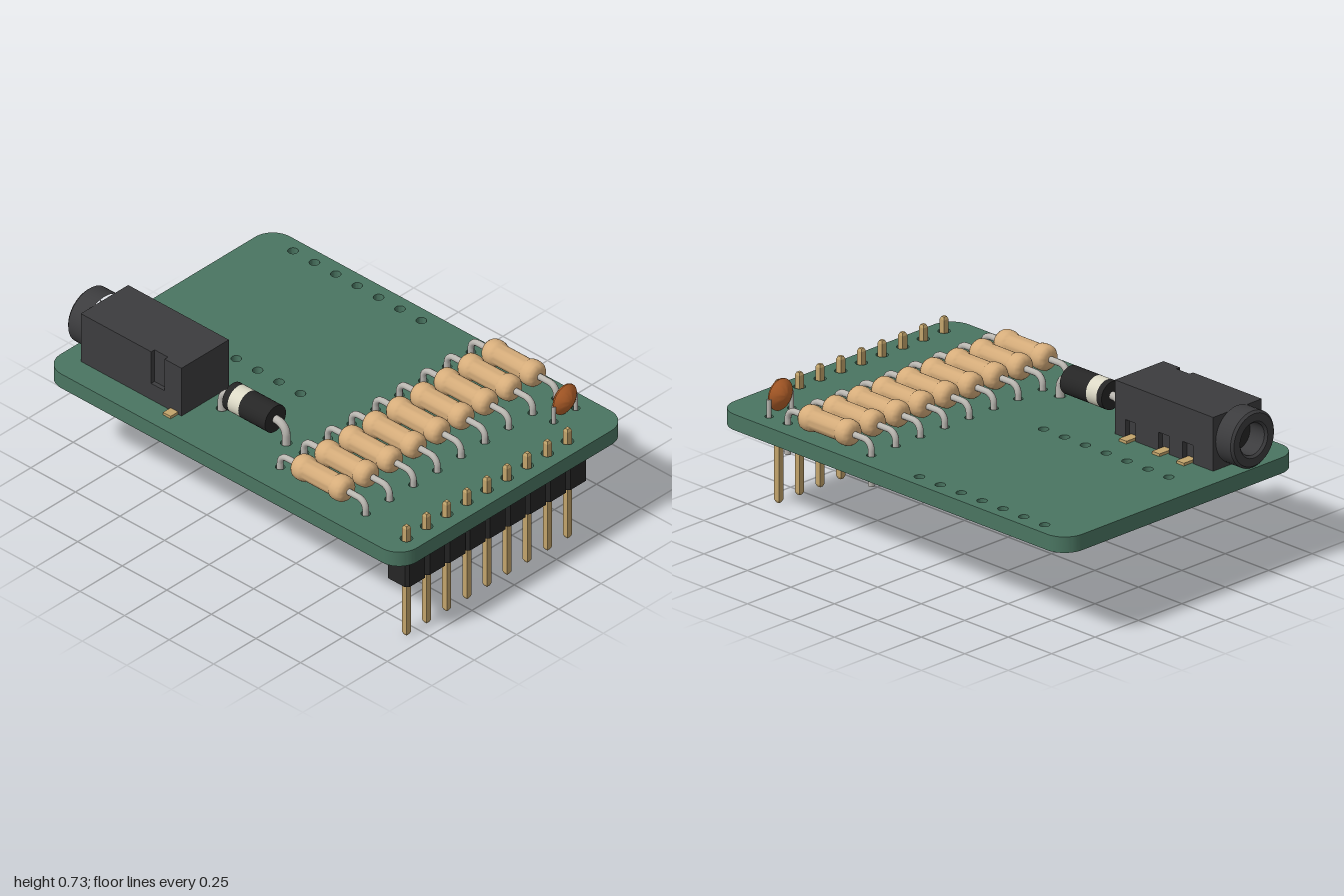
import * as THREE from 'three';
import { toCreasedNormals } from 'three/addons/utils/BufferGeometryUtils.js';

const mat = (color) => new THREE.MeshStandardMaterial({ color });
const green = mat(0x4a7561), black = mat(0x262626), jackGrey = mat(0x3c3c3e), gold = mat(0xc2a46b);
const silver = mat(0xb9b6b0), tan = mat(0xd6ad7b), cream = mat(0xdcd9c6), orange = mat(0xb9632b);

const BOTTOM = 0.405, TOP = 0.475;
const range = (n, start, step) => Array.from({ length: n }, (_, i) => start + i * step);
const resistorZ = range(9, -0.587, 0.141);
const pinZ = range(9, -0.397, 0.119);
const holeX = range(7, -0.82, 0.12);
const PIN_X = 0.922, DIODE_Z = 0.4, JACK_Z = 0.415, CAP_X = 0.785;

function add(parent, name, geometry, material, x = 0, y = 0, z = 0) {
  const mesh = new THREE.Mesh(geometry, material);
  mesh.name = name;
  mesh.position.set(x, y, z);
  parent.add(mesh);
  return mesh;
}

function group(parent, name) {
  const g = new THREE.Group();
  g.name = name;
  parent.add(g);
  return g;
}

// Extrudes a plan outline (x, -z) upward from y0 to y1
function slab(shape, y0, y1) {
  const geo = new THREE.ExtrudeGeometry(shape, { depth: y1 - y0, bevelEnabled: false, curveSegments: 10 });
  return toCreasedNormals(geo.rotateX(-Math.PI / 2).translate(0, y0, 0), 0.6);
}

const planShape = (points) => new THREE.Shape(points.map(([x, z]) => new THREE.Vector2(x, -z)));

// Turned solid lying along x; points are [radius, x] from -x to +x
function turnedX(points, segments = 32, crease = 0.6) {
  const geo = new THREE.LatheGeometry(points.map(([r, x]) => new THREE.Vector2(r, x)), segments);
  return toCreasedNormals(geo.rotateZ(-Math.PI / 2), crease);
}

// Wire that leaves a body at xBody, bends down at xEnd and goes through the board
function addBentLead(parent, xBody, xEnd, y, yEnd, z, r, bend) {
  const s = Math.sign(xEnd - xBody);
  const v = (x, yy) => new THREE.Vector3(x, yy, z);
  const k = 0.45 * bend;
  const path = new THREE.CurvePath();
  path.add(new THREE.LineCurve3(v(xBody, y), v(xEnd - s * bend, y)));
  path.add(new THREE.CubicBezierCurve3(v(xEnd - s * bend, y), v(xEnd - s * k, y), v(xEnd, y - k), v(xEnd, y - bend)));
  path.add(new THREE.LineCurve3(v(xEnd, y - bend), v(xEnd, yEnd)));
  add(parent, 'lead', new THREE.TubeGeometry(path, 28, r, 10), silver);
  add(parent, 'leadEnd', new THREE.CircleGeometry(r, 10).rotateX(Math.PI / 2), silver, xEnd, yEnd, z);
}

function buildBoard(root) {
  const w = 1, d = 0.675, r = 0.1;
  const shape = new THREE.Shape();
  shape.absarc(w - r, d - r, r, 0, Math.PI / 2);
  shape.absarc(r - w, d - r, r, Math.PI / 2, Math.PI);
  shape.absarc(r - w, r - d, r, Math.PI, Math.PI * 1.5);
  shape.absarc(w - r, r - d, r, Math.PI * 1.5, Math.PI * 2);
  shape.closePath();
  const hole = (x, z, radius) =>
    shape.holes.push(new THREE.Path().absarc(x, -z, radius, 0, Math.PI * 2, true));
  for (const x of holeX) { hole(x, -0.61, 0.022); hole(x, 0.105, 0.022); }
  for (const z of resistorZ) { hole(0.2, z, 0.02); hole(0.68, z, 0.02); }
  for (const z of pinZ) hole(PIN_X, z, 0.026);
  for (const x of [-0.26, 0.1]) hole(x, DIODE_Z, 0.024);
  for (const z of [-0.59, -0.46]) hole(CAP_X, z, 0.018);
  for (const x of [-0.83, -0.505]) hole(x, JACK_Z, 0.04);
  add(root, 'board', slab(shape, BOTTOM, TOP), green);
}

function buildResistors(root) {
  const half = [[0, 0.145], [0.03, 0.145], [0.044, 0.14], [0.053, 0.128], [0.056, 0.112],
    [0.056, 0.092], [0.053, 0.08], [0.047, 0.072]];
  const profile = [...half.map(([r, x]) => [r, -x]), ...half.slice().reverse()];
  const body = turnedX(profile, 32, 0.8);
  for (const z of resistorZ) {
    const g = group(root, 'resistor');
    add(g, 'resistorBody', body, tan, 0.44, 0.537, z);
    for (const s of [-1, 1]) addBentLead(g, 0.44 + s * 0.13, 0.44 + s * 0.24, 0.537, 0.34, z, 0.014, 0.04);
  }
}

function buildDiode(root) {
  const g = group(root, 'diode');
  const y = 0.565, r = 0.062;
  const body = (x0, x1) => turnedX([[0, x0], [r, x0], [r, x1], [0, x1]]);
  add(g, 'diodeEnd', body(-0.2, -0.17), black, 0, y, DIODE_Z);
  add(g, 'diodeBand', body(-0.17, -0.11), cream, 0, y, DIODE_Z);
  add(g, 'diodeBody', body(-0.11, 0.04), black, 0, y, DIODE_Z);
  addBentLead(g, -0.19, -0.26, y, 0.365, DIODE_Z, 0.018, 0.05);
  addBentLead(g, 0.03, 0.1, y, 0.365, DIODE_Z, 0.018, 0.05);
}

function buildCapacitor(root) {
  const g = group(root, 'capacitor');
  const half = [[0, 0.037], [0.018, 0.034], [0.036, 0.026], [0.054, 0.015], [0.069, 0.003]];
  const profile = [...half.map(([r, x]) => [r, -x]), ...half.slice().reverse()];
  add(g, 'capacitorDisc', turnedX(profile, 32, 0.5), orange, CAP_X, 0.553, -0.525);
  for (const z of [-0.59, -0.46])
    add(g, 'capacitorLead', new THREE.CylinderGeometry(0.01, 0.01, 0.165, 10), silver, CAP_X, 0.4675, z);
}

function buildHeader(root) {
  const g = group(root, 'pinHeader');
  const hx = 0.061, hz = 0.0595, c = 0.014;
  const housing = slab(planShape([[-hx, hz - c], [-hx + c, hz], [hx - c, hz], [hx, hz - c],
    [hx, c - hz], [hx - c, -hz], [c - hx, -hz], [-hx, c - hz]]), 0.285, BOTTOM);
  const r = 0.013 * Math.SQRT2;
  const pinProfile = [[0, 0], [r * 0.6, 0], [r, 0.012], [r, 0.528], [r * 0.6, 0.54], [0, 0.54]];
  const pin = toCreasedNormals(
    new THREE.LatheGeometry(pinProfile.map((p) => new THREE.Vector2(...p)), 4).rotateY(Math.PI / 4), 0.2);
  for (const z of pinZ) {
    add(g, 'headerHousing', housing, black, PIN_X, 0, z);
    add(g, 'headerPin', pin, gold, PIN_X, 0, z);
  }
}

function buildJack(root) {
  const g = group(root, 'audioJack');
  const x0 = -0.905, x1 = -0.34, zb = 0.275, zf = 0.555, split = 0.555;
  const padX = [-0.76, -0.62, -0.43];
  // Lower body has slots over the rear contacts
  const lower = [[x0, zf], [x1, zf], [x1, zb]];
  for (const x of padX.slice().reverse())
    lower.push([x + 0.03, zb], [x + 0.03, zb + 0.025], [x - 0.03, zb + 0.025], [x - 0.03, zb]);
  lower.push([x0, zb]);
  add(g, 'jackLowerBody', slab(planShape(lower), TOP, split), jackGrey);
  // Upper body has a notch in the front wall
  const upper = [[x0, zf], [-0.51, zf], [-0.51, zf - 0.02], [-0.435, zf - 0.02], [-0.435, zf],
    [x1, zf], [x1, zb], [x0, zb]];
  add(g, 'jackUpperBody', slab(planShape(upper), split, 0.712), jackGrey);
  // Hollow collar around the socket
  const collar = turnedX([[0.07, 0], [0.07, -0.085], [0.08, -0.095], [0.115, -0.095], [0.125, -0.085], [0.125, 0]], 40, 0.4);
  add(g, 'jackCollar', collar, jackGrey, x0, 0.6, JACK_Z);
  add(g, 'jackSocket', new THREE.CircleGeometry(0.071, 32).rotateY(-Math.PI / 2), black, x0 - 0.003, 0.6, JACK_Z);
  // Solder contacts
  const pad = new THREE.BoxGeometry(0.043, 0.012, 0.08);
  for (const x of padX) add(g, 'jackContact', pad, gold, x, TOP + 0.006, 0.27);
  add(g, 'jackContact', pad, gold, -0.38, TOP + 0.006, 0.56);
}

export function createModel() {
  const root = new THREE.Group();
  root.name = 'circuitBoard';
  buildBoard(root);
  buildResistors(root);
  buildDiode(root);
  buildCapacitor(root);
  buildHeader(root);
  buildJack(root);
  return root;
}
